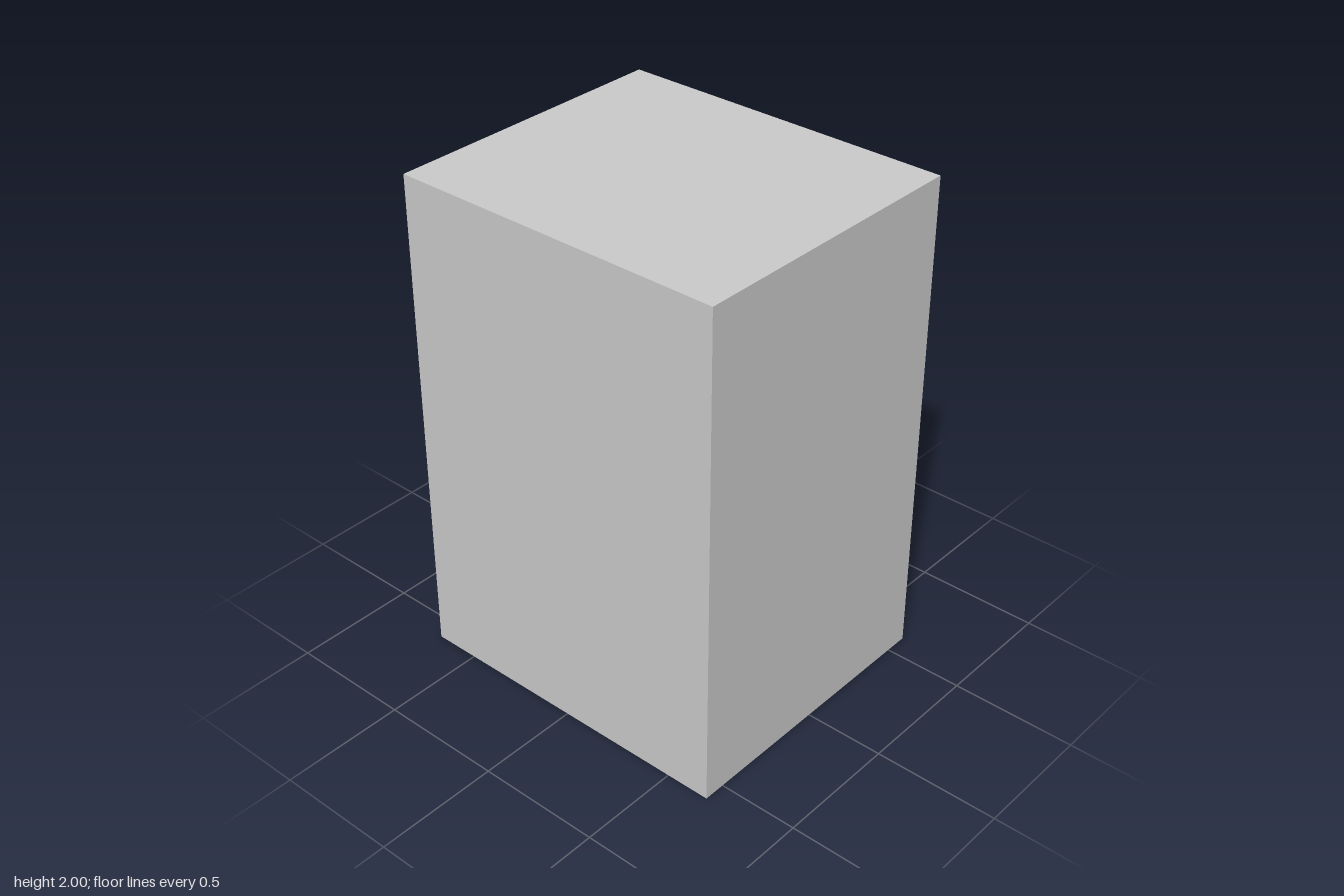
import * as THREE from 'three';

const W = 0.682, D = 0.591, H = 2;      // half width, half depth, height
const SIDE = 0.107, WALL = 0.1;         // side wall and front/roof thickness
const BASE = 0.003;                     // walls start just above the mat's underside

export function createModel() {
  const group = new THREE.Group();
  const grey = new THREE.MeshStandardMaterial({ color: 0xcccccc, flatShading: true });
  const cloth = new THREE.MeshStandardMaterial({ color: 0xcccccc, flatShading: true, side: THREE.DoubleSide });

  const add = (name, geometry, material = grey) => {
    const mesh = new THREE.Mesh(geometry, material);
    mesh.name = name;
    group.add(mesh);
    return mesh;
  };

  // Walls: U-shaped plan, open at the back (plan y is -z)
  const plan = new THREE.Shape([
    [-W, -D], [W, -D], [W, D], [W - SIDE, D],
    [W - SIDE, -D + WALL], [-W + SIDE, -D + WALL], [-W + SIDE, D], [-W, D],
  ].map(([x, y]) => new THREE.Vector2(x, y)));
  const walls = new THREE.ExtrudeGeometry(plan, { depth: H - WALL - BASE, bevelEnabled: false });
  add('walls', walls.rotateX(-Math.PI / 2).translate(0, BASE, 0));

  // Roof slab
  add('roof', new THREE.BoxGeometry(2 * W, WALL, 2 * D)).position.y = H - WALL / 2;

  // Curtain: one pleated sheet hung from the roof across the back opening
  const folds = 6, bottom = 0.065, top = H - WALL;
  const curtain = new THREE.PlaneGeometry(1.13, top - bottom, folds, 1);
  const p = curtain.attributes.position;
  for (let i = 0; i < p.count; i++) {
    const column = i % (folds + 1);
    const end = column === 0 || column === folds;
    p.setZ(i, -D + (end ? 0.08 : column % 2 ? 0.01 : 0.063));
  }
  curtain.translate(0, (top + bottom) / 2, 0);
  curtain.computeVertexNormals();
  add('curtain', curtain, cloth);

  // Floor mat
  add('floorMat', new THREE.BoxGeometry(0.8, 0.006, 0.52)).position.set(0, 0.003, 0.2);

  return group;
}
